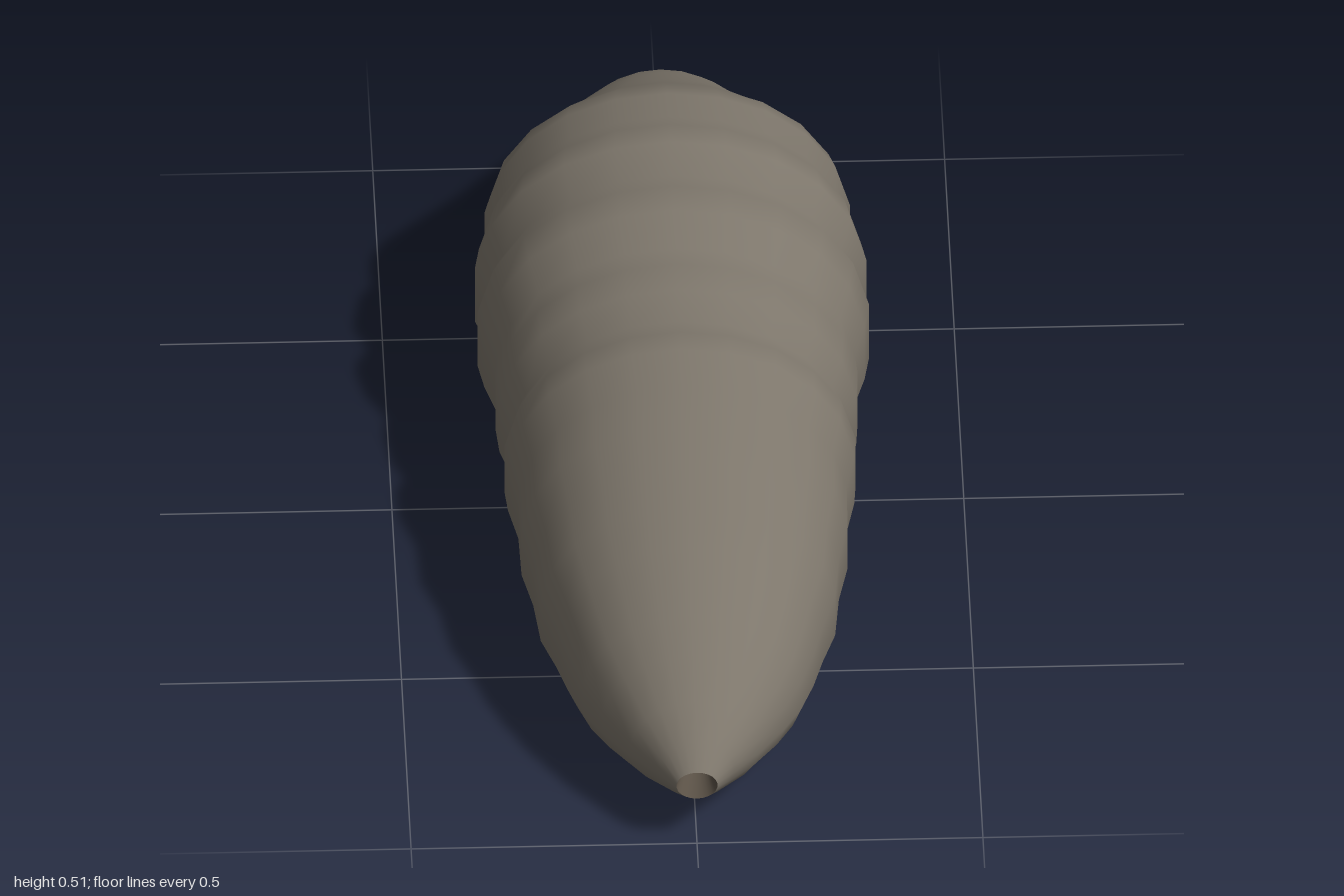
import * as THREE from 'three';

const SIDES = 22;
const lerp = THREE.MathUtils.lerp;

// Loft through rings of [z, half width, top, bottom]; wide rings get a flattened belly.
// Rising z faces outward, falling z faces inward.
function loft(rings) {
  const pos = [], index = [];
  for (const [z, w, top, bottom] of rings) {
    const k = THREE.MathUtils.clamp((w - 0.08) / 0.18, 0, 1);
    const mid = lerp(bottom, top, lerp(0.5, 0.375, k));
    for (let i = 0; i < SIDES; i++) {
      const a = (i / SIDES) * Math.PI * 2;
      const c = Math.cos(a);
      const y = c >= 0
        ? mid + (top - mid) * Math.pow(c, lerp(1, 0.9, k))
        : mid - (mid - bottom) * Math.pow(-c, lerp(1, 0.6, k));
      pos.push(w * Math.sin(a), y, z);
    }
  }
  for (let j = 0; j < rings.length - 1; j++) {
    for (let i = 0; i < SIDES; i++) {
      const n = (i + 1) % SIDES;
      const a = j * SIDES + i, b = j * SIDES + n;
      const c = a + SIDES, d = b + SIDES;
      index.push(a, c, b, b, c, d);
    }
  }
  const g = new THREE.BufferGeometry();
  g.setAttribute('position', new THREE.Float32BufferAttribute(pos, 3));
  g.setIndex(index);
  g.computeVertexNormals();
  return g;
}

// Segmented body, from mouth (-z) to tail (+z)
const BODY = [
  [-1, 0.09, 0.21, 0.072], [-0.93, 0.133, 0.262, 0.045], [-0.87, 0.17, 0.3, 0.025],
  [-0.79, 0.215, 0.345, 0.008], [-0.71, 0.262, 0.396, 0.005], [-0.61, 0.312, 0.464, 0.004],
  [-0.55, 0.323, 0.49, 0.003], [-0.49, 0.32, 0.484, 0.003], [-0.43, 0.337, 0.511, 0.003],
  [-0.37, 0.346, 0.517, 0.003], [-0.305, 0.325, 0.492, 0.003], [-0.24, 0.346, 0.517, 0.003],
  [-0.18, 0.336, 0.508, 0.003], [-0.122, 0.317, 0.468, 0.003], [-0.065, 0.32, 0.476, 0.003],
  [0, 0.315, 0.468, 0.003], [0.064, 0.295, 0.447, 0.003], [0.12, 0.31, 0.465, 0.003],
  [0.17, 0.306, 0.464, 0.003], [0.245, 0.29, 0.437, 0.003], [0.35, 0.288, 0.432, 0.003],
  [0.43, 0.27, 0.4, 0.003], [0.53, 0.26, 0.386, 0.003], [0.61, 0.235, 0.357, 0.003],
  [0.68, 0.217, 0.338, 0.004], [0.75, 0.193, 0.311, 0.008], [0.82, 0.16, 0.28, 0.022],
  [0.9, 0.113, 0.234, 0.047], [0.96, 0.067, 0.193, 0.075], [1, 0.036, 0.156, 0.1],
];

// Inward-facing linings of the two openings
const GULLET = [
  [-0.6, 0.002, 0.19, 0.186], [-0.6, 0.09, 0.26, 0.11], [-0.8, 0.085, 0.225, 0.08],
  [-0.95, 0.08, 0.205, 0.075], [-1, 0.09, 0.21, 0.072],
].reverse();
const VENT = [
  [1, 0.036, 0.156, 0.1], [0.97, 0.03, 0.15, 0.103],
  [0.91, 0.022, 0.143, 0.108], [0.9, 0.001, 0.126, 0.124],
];

export function createModel() {
  const skin = new THREE.MeshStandardMaterial({ color: 0x7d766b });
  skin.name = 'skin';
  const inner = new THREE.MeshStandardMaterial({ color: 0x5a5146 });
  inner.name = 'inner flesh';
  const horn = new THREE.MeshStandardMaterial({ color: 0xb8933f });
  horn.name = 'tooth gold';

  const model = new THREE.Group();
  model.name = 'grub';
  const add = (name, geometry, material, parent = model) => {
    const mesh = new THREE.Mesh(geometry, material);
    mesh.name = name;
    parent.add(mesh);
    return mesh;
  };

  add('body', loft(BODY), skin);
  // the gullet is listed front to back, so its faces are flipped to look inward
  const gullet = loft(GULLET);
  gullet.index.array.reverse();
  gullet.computeVertexNormals();
  add('gullet', gullet, inner);
  add('vent', loft(VENT), inner);

  // Ring of small teeth lining the mouth, tips leaning inward
  const teeth = new THREE.Group();
  teeth.name = 'teeth';
  model.add(teeth);
  const toothShape = new THREE.ConeGeometry(0.009, 0.028, 6);
  const up = new THREE.Vector3(0, 1, 0);
  const COUNT = 16;
  for (let i = 0; i < COUNT; i++) {
    const a = (i / COUNT) * Math.PI * 2;
    const tooth = add('tooth', toothShape, horn, teeth);
    tooth.position.set(0.073 * Math.sin(a), 0.141 + 0.058 * Math.cos(a), -0.983);
    tooth.quaternion.setFromUnitVectors(up,
      new THREE.Vector3(-Math.sin(a), -Math.cos(a), -0.5).normalize());
  }

  // Short row of teeth under the lip
  for (let i = -2; i <= 2; i++) {
    const tooth = add('lipTooth', toothShape, horn, teeth);
    tooth.position.set(i * 0.017, 0.058 + 0.002 * i * i, -0.972);
    tooth.quaternion.setFromUnitVectors(up, new THREE.Vector3(0, -0.6, -0.8));
  }
  return model;
}
